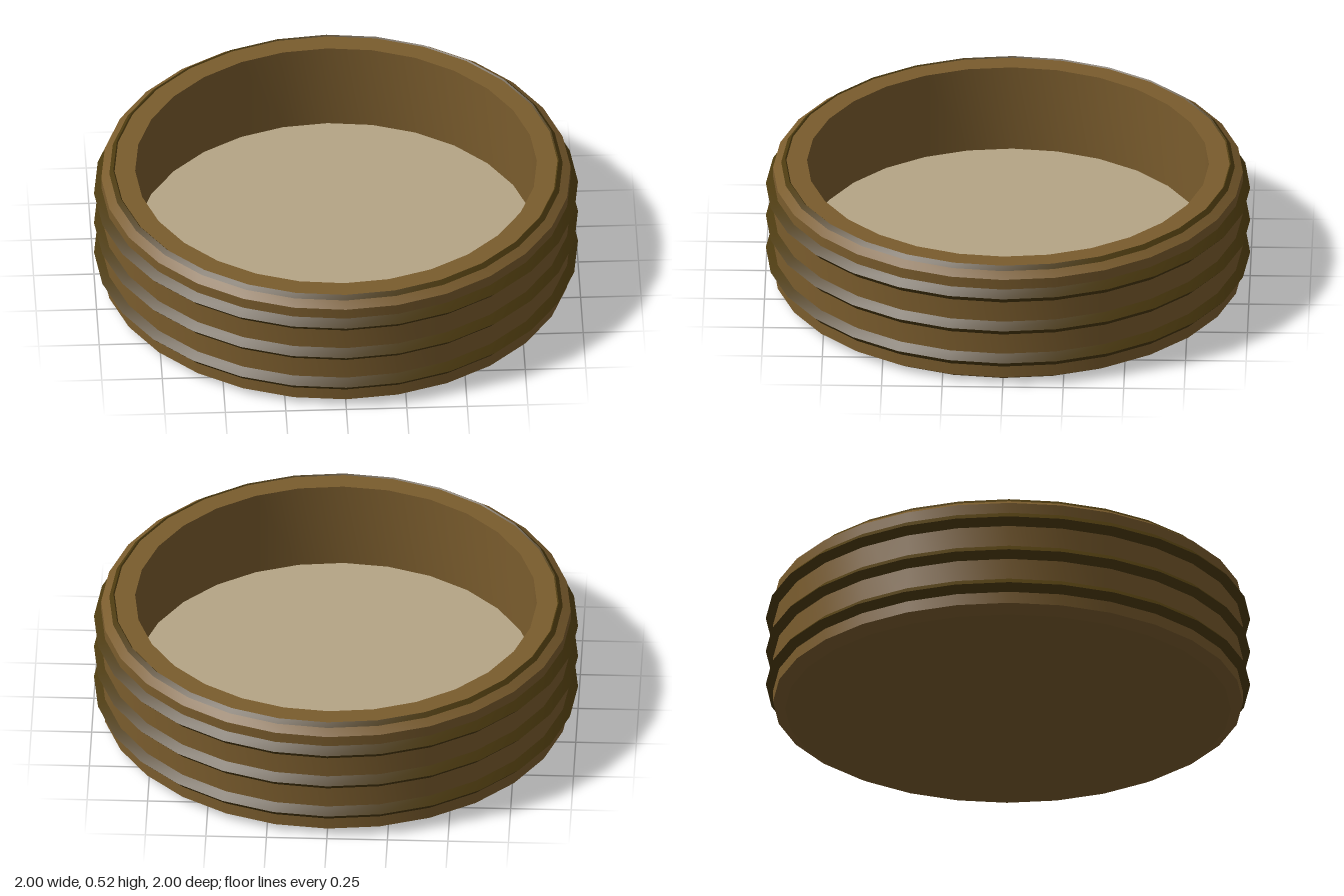
import * as THREE from 'three';
import { toCreasedNormals } from 'three/addons/utils/BufferGeometryUtils.js';

const SIDES = 28;

export function createModel() {
  const group = new THREE.Group();
  const material = (name, color) => {
    const m = new THREE.MeshStandardMaterial({ color });
    m.name = name;
    return m;
  };
  const brown = material('brown', 0x7a5c2d);
  const darkBrown = material('dark brown', 0x4c3a0f);
  const beige = material('beige', 0xb5a586);

  const add = (name, geometry, mat, y = 0) => {
    const mesh = new THREE.Mesh(geometry, mat);
    mesh.name = name;
    mesh.position.y = y;
    group.add(mesh);
  };

  // Shell: bottom, chamfered outer wall, flat rim and inner wall
  const profile = [
    [0, 0], [0.92, 0], [0.97, 0.03], [0.97, 0.485],
    [0.92, 0.52], [0.83, 0.52], [0.83, 0.14],
  ].map(([r, y]) => new THREE.Vector2(r, y));
  add('shell', toCreasedNormals(new THREE.LatheGeometry(profile, SIDES), 0.4), brown);

  // Pale floor inside the shell
  const floor = new THREE.CircleGeometry(0.83, SIDES).rotateX(-Math.PI / 2);
  add('floor', floor, beige, 0.14);

  // Diamond-section bands around the wall and along the rim edge
  const band = (name, radius, y) => {
    const ring = new THREE.TorusGeometry(radius, 0.03, 4, SIDES).rotateX(-Math.PI / 2);
    add(name, toCreasedNormals(ring, 0.4), darkBrown, y);
  };
  ['lowerBand', 'middleBand', 'upperBand'].forEach((name, i) => band(name, 0.97, 0.11 + i * 0.15));
  band('rimBand', 0.92, 0.495);

  return group;
}
